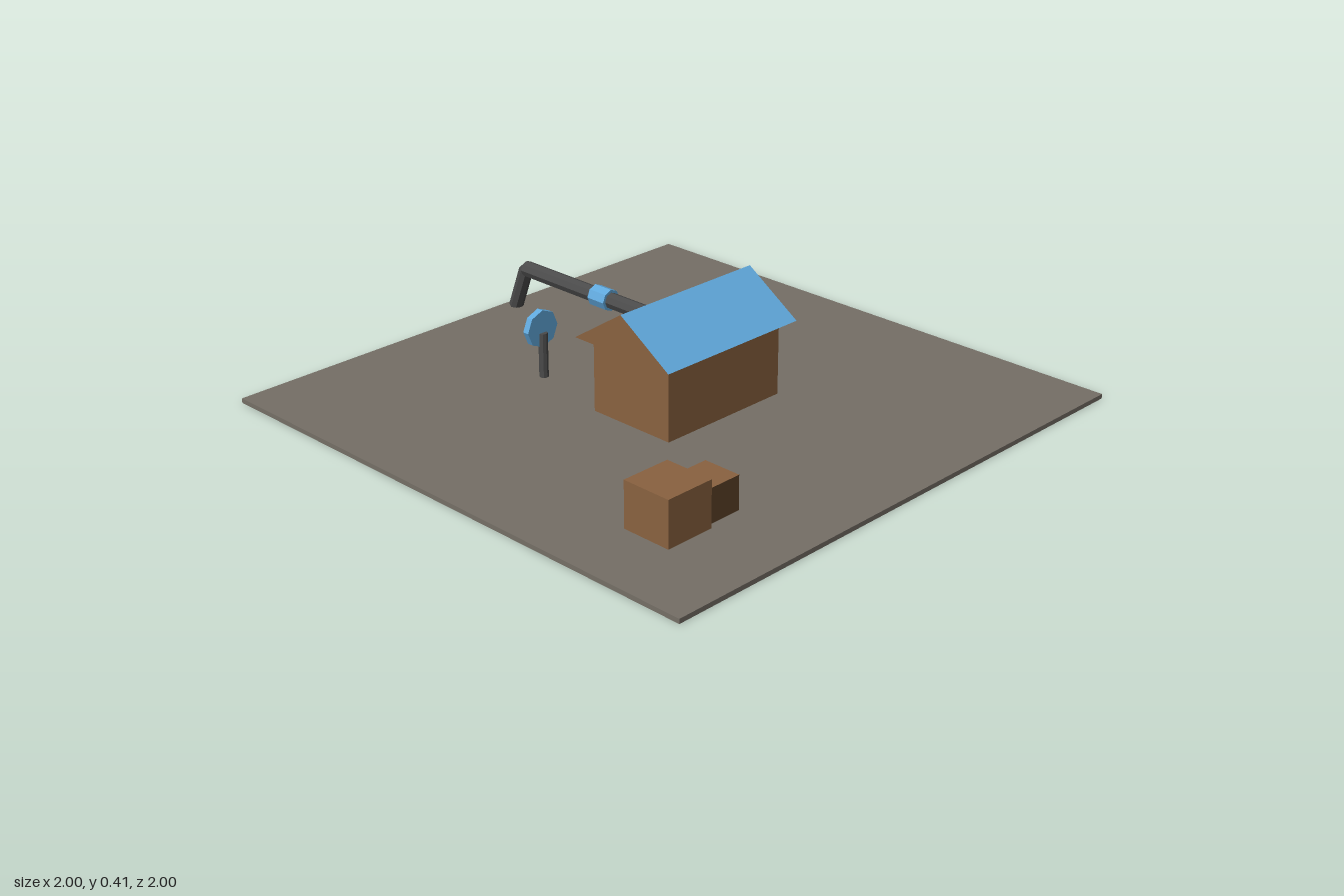
import * as THREE from 'three';

const mat = (name, color) => Object.assign(new THREE.MeshStandardMaterial({ color }), { name });

export function createModel() {
  const stone = mat('stone grey', 0x756f66);
  const wood = mat('wood brown', 0x8a6240);
  const darkWood = mat('dark wood', 0x5e4229);
  const blue = mat('bright blue', 0x60a8dc);
  const iron = mat('iron grey', 0x4a4a4a);
  const doorGrey = mat('door grey', 0x4b4b4d);

  const model = new THREE.Group();
  model.name = 'pumpHouse';
  const add = (name, geometry, material) => {
    const mesh = new THREE.Mesh(geometry, material);
    mesh.name = name;
    model.add(mesh);
    return mesh;
  };

  // Box given by its lower and upper corners
  const box = (name, [x0, y0, z0], [x1, y1, z1], material) =>
    add(name, new THREE.BoxGeometry(x1 - x0, y1 - y0, z1 - z0), material)
      .position.set((x0 + x1) / 2, (y0 + y1) / 2, (z0 + z1) / 2);

  // Eight-sided faceted rod between two points
  const rod = (name, from, to, radius, material) => {
    const a = new THREE.Vector3(...from);
    const d = new THREE.Vector3(...to).sub(a);
    const geometry = new THREE.CylinderGeometry(radius, radius, d.length(), 8).toNonIndexed();
    geometry.computeVertexNormals();
    const mesh = add(name, geometry, material);
    mesh.position.copy(a).addScaledVector(d, 0.5);
    mesh.quaternion.setFromUnitVectors(new THREE.Vector3(0, 1, 0), d.normalize());
    return mesh;
  };

  // Ground slab
  const floor = 0.016;
  box('ground', [-1, 0, -1], [1, floor, 1], stone);

  // House walls and back door
  box('houseWalls', [-0.257, floor, -0.103], [0.255, 0.276, 0.232], wood);
  box('backDoor', [-0.075, floor, -0.109], [0.075, 0.2, -0.102], doorGrey);

  // Gable roof: blue slopes, wooden gables and soffit
  const [L, R, eave, ridge, back, mid, front] = [-0.299, 0.296, 0.276, 0.413, -0.144, 0.064, 0.272];
  const A = [L, eave, front], B = [R, eave, front], C = [R, ridge, mid];
  const D = [L, ridge, mid], E = [R, eave, back], F = [L, eave, back];
  const quad = (a, b, c, d) => [a, b, c, a, c, d];
  const corners = [...quad(A, B, C, D), ...quad(E, F, D, C), ...quad(F, E, B, A), B, E, C, F, A, D];
  const roof = new THREE.BufferGeometry();
  roof.setAttribute('position', new THREE.Float32BufferAttribute(corners.flat(), 3));
  roof.computeVertexNormals();
  roof.addGroup(0, 12, 0);
  roof.addGroup(12, 12, 1);
  add('roof', roof, [blue, wood]);

  // Pipe leaving the back of the house and bending into the ground
  const px = 0.166, py = 0.176;
  rod('pipe', [px, py, -0.09], [px, py, -0.893], 0.029, iron);
  rod('pipeCollar', [px, py, -0.46], [px, py, -0.538], 0.039, blue);
  rod('pipeOutlet', [px, 0.172, -0.897], [px, 0.017, -0.957], 0.026, iron);

  // Valve wheel on a post
  rod('valvePost', [-0.188, floor, -0.421], [-0.188, 0.175, -0.421], 0.016, iron);
  rod('valveWheel', [-0.188, 0.189, -0.445], [-0.188, 0.189, -0.421], 0.066, blue);

  // Crates; the small one has darker sides
  box('largeCrate', [-0.75, floor, 0.535], [-0.572, 0.175, 0.714], wood);
  box('smallCrate', [-0.561, floor, 0.559], [-0.435, 0.133, 0.695],
    [darkWood, darkWood, wood, darkWood, darkWood, darkWood]);

  return model;
}
